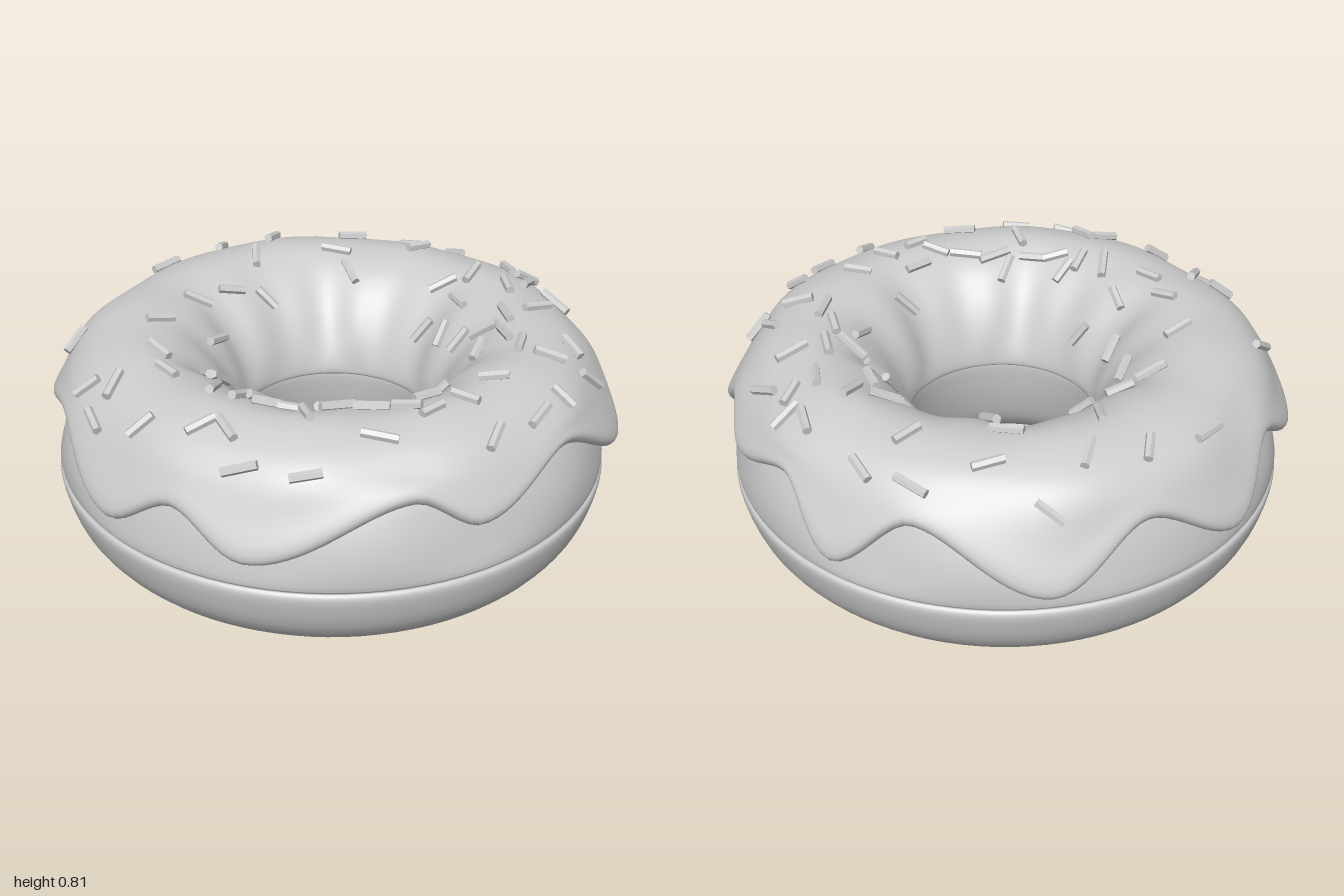
import * as THREE from 'three';
import { mergeGeometries } from 'three/addons/utils/BufferGeometryUtils.js';

const DEG = Math.PI / 180;

// Smooth points through a few (radius, height) pairs
function spline(pairs, count, closed = false) {
  const curve = new THREE.CatmullRomCurve3(pairs.map(([r, y]) => new THREE.Vector3(r, y, 0)), closed, 'centripetal');
  return curve.getPoints(count);
}

// Place a section point around the ring; the hole sits slightly toward the front
function place(r, y, a) {
  const shift = 0.02 * THREE.MathUtils.clamp((0.7 - r) / 0.35, 0, 1);
  return [r * Math.cos(a), y, r * Math.sin(a) + shift];
}

// Sweep a section that varies with angle around the y axis
function ringGeometry(section, steps) {
  const pos = [], index = [];
  let n = 0;
  for (let i = 0; i < steps; i++) {
    const a = (i / steps) * Math.PI * 2;
    const pts = section(a);
    n = pts.length;
    for (const p of pts) pos.push(...place(p.x, p.y, a));
  }
  for (let i = 0; i < steps; i++) {
    const k = (i + 1) % steps;
    for (let j = 0; j < n - 1; j++) {
      const a = i * n + j, b = a + 1, c = k * n + j, d = c + 1;
      index.push(a, b, c, b, d, c);
    }
  }
  const g = new THREE.BufferGeometry();
  g.setAttribute('position', new THREE.Float32BufferAttribute(pos, 3));
  g.setIndex(index);
  g.computeVertexNormals();
  return g;
}

// Icing rim: alternating drips and gaps as [angle, height]
const rim = [
  [-10, 0.42], [6, 0.59], [24, 0.51], [37, 0.57], [54, 0.42], [81, 0.6], [105, 0.5], [118, 0.6],
  [150, 0.43], [166, 0.54], [180, 0.43], [206, 0.57], [233, 0.45], [250, 0.57], [268, 0.42],
  [288, 0.57], [308, 0.4], [335, 0.59], [350, 0.42],
];
function rimHeight(a) {
  let d = a / DEG;
  if (d > 350) d -= 360;
  const k = rim.findIndex((r, i) => i > 0 && d <= r[0]);
  const [a0, h0] = rim[k - 1], [a1, h1] = rim[k];
  return THREE.MathUtils.lerp(h0, h1, THREE.MathUtils.smoothstep(d, a0, a1));
}

// Icing section, from the outer lip over the top and down into the hole
function icingSection(a) {
  const e = rimHeight(a);
  const R = 0.925 + (0.59 - e) * 0.43;
  const w = 0.008 * Math.sin(5 * a + 1) + 0.006 * Math.sin(11 * a);
  const v = 0.012 * Math.sin(7 * a + 2) + 0.008 * Math.sin(13 * a);
  return spline([
    [R - 0.08, e + 0.03], [R - 0.02, e], [R, e + 0.03],
    [R * 0.5 + 0.447, (e + 0.68) / 2 + 0.015], [0.875 + w, 0.685], [0.8 + w, 0.742],
    [0.66, 0.775 + w * 0.5], [0.53 + v, 0.735], [0.43 + v, 0.64], [0.365 + v * 0.6, 0.53],
    [0.333, 0.43], [0.335, 0.4], [0.37, 0.4],
  ], 44);
}

// Point on the icing at a given radius and angle
function icingPoint(r, a) {
  const pts = icingSection((a + Math.PI * 4) % (Math.PI * 2));
  let y = 0.45;
  for (let i = 6; i < pts.length - 1; i++) {
    const p = pts[i], q = pts[i + 1];
    if (p.x >= r && q.x <= r && p.x > q.x) {
      y = THREE.MathUtils.lerp(p.y, q.y, (p.x - r) / (p.x - q.x));
      break;
    }
  }
  return new THREE.Vector3(...place(r, y, a));
}

// Sprinkle positions as x, z pairs
const spots = [
  -0.04, -0.84, 0.18, -0.78, 0.55, -0.71, 0.35, -0.68, -0.61, -0.63, -0.17, -0.52, -0.02, -0.51, 0.18, -0.59,
  0.09, -0.45, -0.4, -0.44, -0.22, -0.37, 0.59, -0.49, 0.44, -0.43, 0.4, -0.32, 0.78, -0.35, 0.67, -0.22,
  0.83, -0.18, -0.55, -0.26, -0.8, -0.31, -0.87, -0.19, -0.77, -0.21, -0.62, -0.13, -0.35, -0.21, -0.38, -0.03,
  -0.49, -0.1, -0.84, 0.02, -0.58, 0.05, -0.55, 0.14, -0.49, 0.16, 0.42, 0.03, 0.55, 0.01, 0.39, 0.15,
  0.65, 0.23, 0.81, 0.1, 0.63, 0.08, 0.82, 0.18, 0.5, 0.13, 0.75, 0.24, 0.38, 0.24, -0.75, 0.2,
  -0.71, 0.27, -0.77, 0.4, -0.66, 0.57, -0.52, 0.23, -0.47, 0.3, -0.5, 0.4, -0.37, 0.34, -0.37, 0.4,
  -0.3, 0.48, -0.41, 0.63, -0.23, 0.57, -0.12, 0.55, -0.2, 0.65, -0.07, 0.67, 0.02, 0.47, 0.09, 0.65,
  0.3, 0.4, 0.4, 0.34, 0.38, 0.45, 0.34, 0.55, 0.6, 0.41, 0.49, 0.36, 0.76, 0.36, 0.36, 0.66,
  0.5, 0.64, -0.11, 0.83, 0.09, 0.84, 0.47, 0.75, 0.23, 0.82,
];

function sprinkleGeometry() {
  let seed = 7;
  const rand = () => (seed = (seed * 16807) % 2147483647) / 2147483647;
  const parts = [];
  for (let i = 0; i < spots.length; i += 2) {
    const r = Math.hypot(spots[i], spots[i + 1]);
    const a = Math.atan2(spots[i + 1], spots[i]);
    const p = icingPoint(r, a);
    const around = icingPoint(r, a + 0.03).sub(p).normalize();
    const across = icingPoint(r - 0.015, a).sub(p).normalize();
    const normal = across.clone().cross(around).normalize();
    // Lie the stick along the surface at a random turn
    const along = around.clone().applyAxisAngle(normal, rand() * Math.PI);
    const side = along.clone().cross(normal).normalize();
    const g = new THREE.CylinderGeometry(0.016, 0.016, 0.09 + rand() * 0.03, 6).toNonIndexed();
    g.computeVertexNormals();
    g.applyMatrix4(new THREE.Matrix4().makeBasis(side, along, side.clone().cross(along)));
    p.addScaledVector(normal, 0.01);
    g.translate(p.x, p.y, p.z);
    parts.push(g);
  }
  return mergeGeometries(parts);
}

export function createModel() {
  const model = new THREE.Group();
  model.name = 'doughnut';
  const grey = new THREE.MeshStandardMaterial({ color: 0xcccccc });
  grey.name = 'plain grey';
  const greyOpen = new THREE.MeshStandardMaterial({ color: 0xcccccc, side: THREE.DoubleSide });
  greyOpen.name = 'plain grey';

  const add = (name, geometry) => {
    const mesh = new THREE.Mesh(geometry, name === 'icing' ? greyOpen : grey);
    mesh.name = name;
    model.add(mesh);
  };

  // Dough ring with a shallow seam around its waist
  add('dough', ringGeometry((a) => {
    const w = 0.006 * Math.sin(6 * a) + 0.005 * Math.sin(9 * a + 1);
    return spline([
      [0.6, 0.0], [0.72, 0.015], [0.83, 0.07], [0.91, 0.16], [0.947, 0.26], [0.953, 0.31],
      [0.942, 0.322], [0.95, 0.335], [0.94 + w, 0.42], [0.905 + w, 0.53], [0.84, 0.64], [0.66, 0.73],
      [0.5, 0.66], [0.4, 0.53], [0.35, 0.41], [0.352, 0.34], [0.375, 0.22], [0.42, 0.1], [0.5, 0.025],
    ], 60, true);
  }, 96));

  // Dripping icing
  add('icing', ringGeometry(icingSection, 180));

  // Scattered sugar sticks
  add('sprinkles', sprinkleGeometry());
  return model;
}
